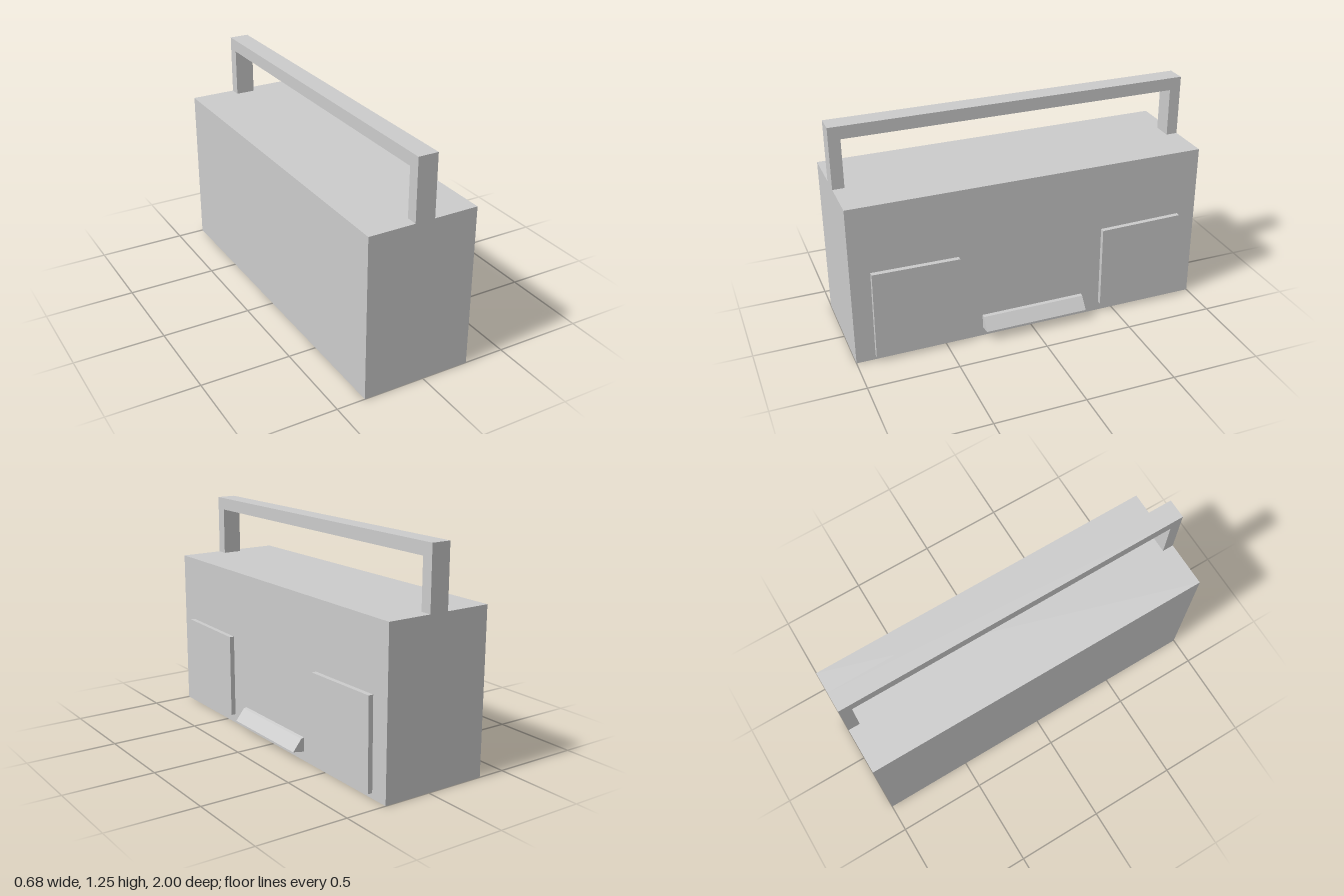
import * as THREE from 'three';

export function createModel() {
  const group = new THREE.Group();
  const material = new THREE.MeshStandardMaterial({ color: 0xcccccc, flatShading: true });

  const add = (name, geometry) => {
    const mesh = new THREE.Mesh(geometry, material);
    mesh.name = name;
    group.add(mesh);
    return mesh;
  };

  // Box given by its extents on each axis
  const box = (name, [x0, x1], [y0, y1], [z0, z1]) =>
    add(name, new THREE.BoxGeometry(x1 - x0, y1 - y0, z1 - z0))
      .position.set((x0 + x1) / 2, (y0 + y1) / 2, (z0 + z1) / 2);

  const extrude = (points, depth) => new THREE.ExtrudeGeometry(
    new THREE.Shape(points.map(([a, b]) => new THREE.Vector2(a, b))),
    { depth, bevelEnabled: false });

  const side = 0.271;

  // Case
  box('body', [-0.343, side], [0, 0.91], [-1, 1]);

  // Carrying handle: an upside-down U running the full length
  const handle = extrude([
    [-1, 0.91], [-0.936, 0.91], [-0.936, 1.18], [0.936, 1.18],
    [0.936, 0.91], [1, 0.91], [1, 1.25], [-1, 1.25],
  ], 0.11);
  handle.rotateY(-Math.PI / 2); // outline along z, thickness toward -x
  handle.translate(0.024, 0, 0);
  add('handle', handle);

  // Slightly skewed raised panels, mirrored along z
  const outline = [[0.415, 0.052], [0.895, 0.03], [0.891, 0.532], [0.415, 0.525]];
  for (const s of [1, -1]) {
    const panel = extrude(outline.map(([z, y]) => [-s * z, y]), 0.027);
    panel.rotateY(Math.PI / 2);
    panel.translate(side, 0, 0);
    add(s > 0 ? 'frontPanel' : 'backPanel', panel);
  }

  // Wedge-shaped lip between the panels
  const lip = extrude([
    [side, 0.052], [0.34, 0.063], [0.289, 0.128], [side, 0.132],
  ], 0.592);
  lip.translate(0, 0, -0.305);
  add('lip', lip);

  return group;
}
